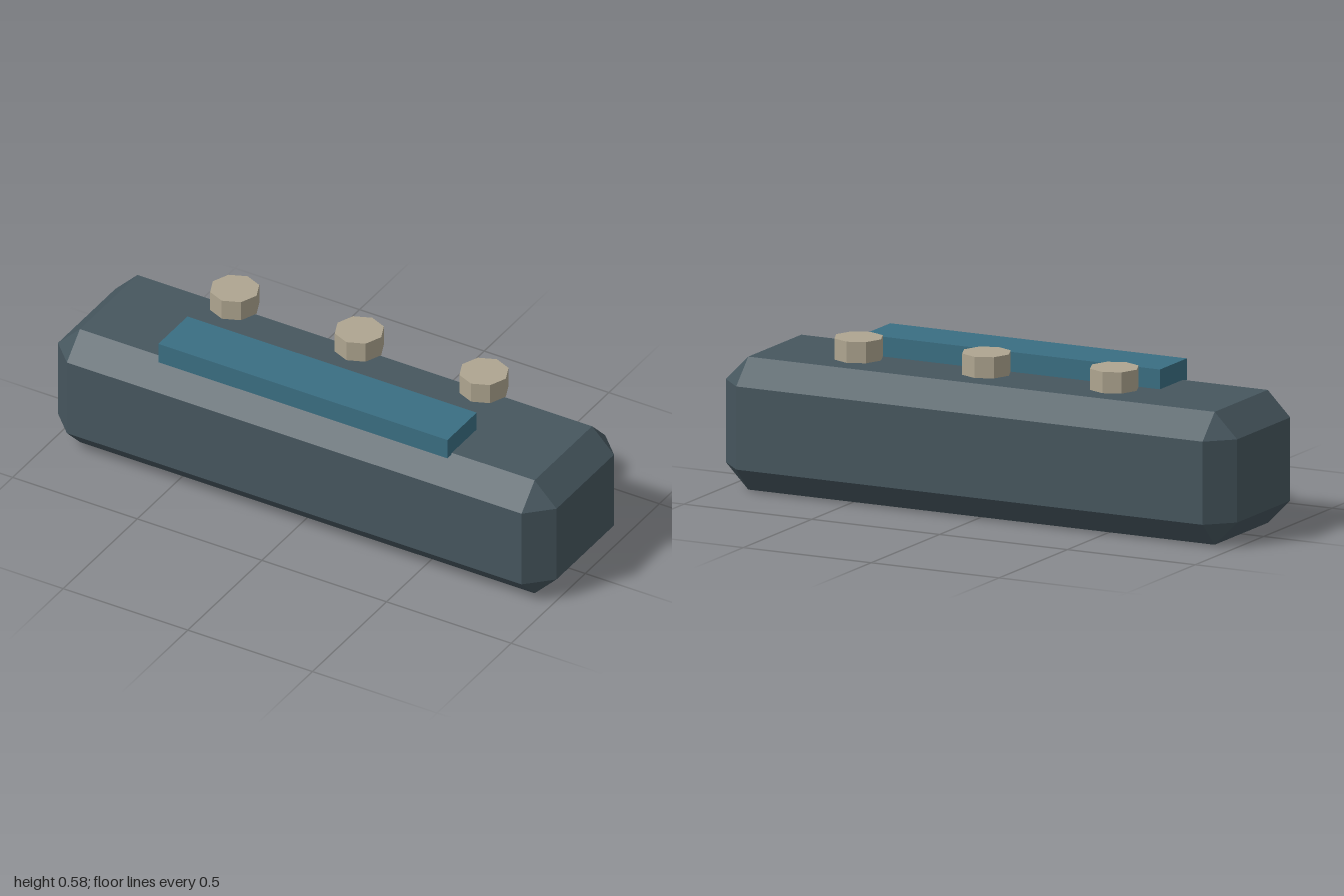
import * as THREE from 'three';
import { ConvexGeometry } from 'three/addons/geometries/ConvexGeometry.js';

function material(name, color) {
  const m = new THREE.MeshStandardMaterial({ color, flatShading: true });
  m.name = name;
  return m;
}

// Box with all edges cut at 45 degrees and a small triangle at each corner
function chamferedBox(width, height, depth, cut) {
  const x = width / 2, y = height / 2, z = depth / 2;
  const points = [];
  for (const sx of [-1, 1]) for (const sy of [-1, 1]) for (const sz of [-1, 1]) {
    points.push(
      new THREE.Vector3(sx * x, sy * (y - cut), sz * (z - cut)),
      new THREE.Vector3(sx * (x - cut), sy * y, sz * (z - cut)),
      new THREE.Vector3(sx * (x - cut), sy * (y - cut), sz * z)
    );
  }
  return new ConvexGeometry(points);
}

export function createModel() {
  const group = new THREE.Group();
  group.name = 'deviceWithButtons';

  const slate = material('slate', 0x46565e);
  const teal = material('teal', 0x3a6e82);
  const beige = material('beige', 0xaea590);

  const add = (name, geometry, mat, x, y, z) => {
    const mesh = new THREE.Mesh(geometry, mat);
    mesh.name = name;
    mesh.position.set(x, y, z);
    group.add(mesh);
  };

  // Long chamfered body
  add('body', chamferedBox(2, 0.47, 0.564, 0.088), slate, 0, 0.235, 0);

  // Raised panel along the front of the top
  add('topPanel', new THREE.BoxGeometry(1.16, 0.076, 0.197), teal, 0, 0.502, 0.125);

  // Row of eight-sided buttons hovering above the rear of the top
  const buttonGeometry = new THREE.CylinderGeometry(0.0875, 0.0875, 0.075, 8);
  ['rightButton', 'middleButton', 'leftButton'].forEach((name, i) => {
    add(name, buttonGeometry, beige, (i - 1) * 0.5, 0.5395, -0.1575);
  });

  return group;
}
